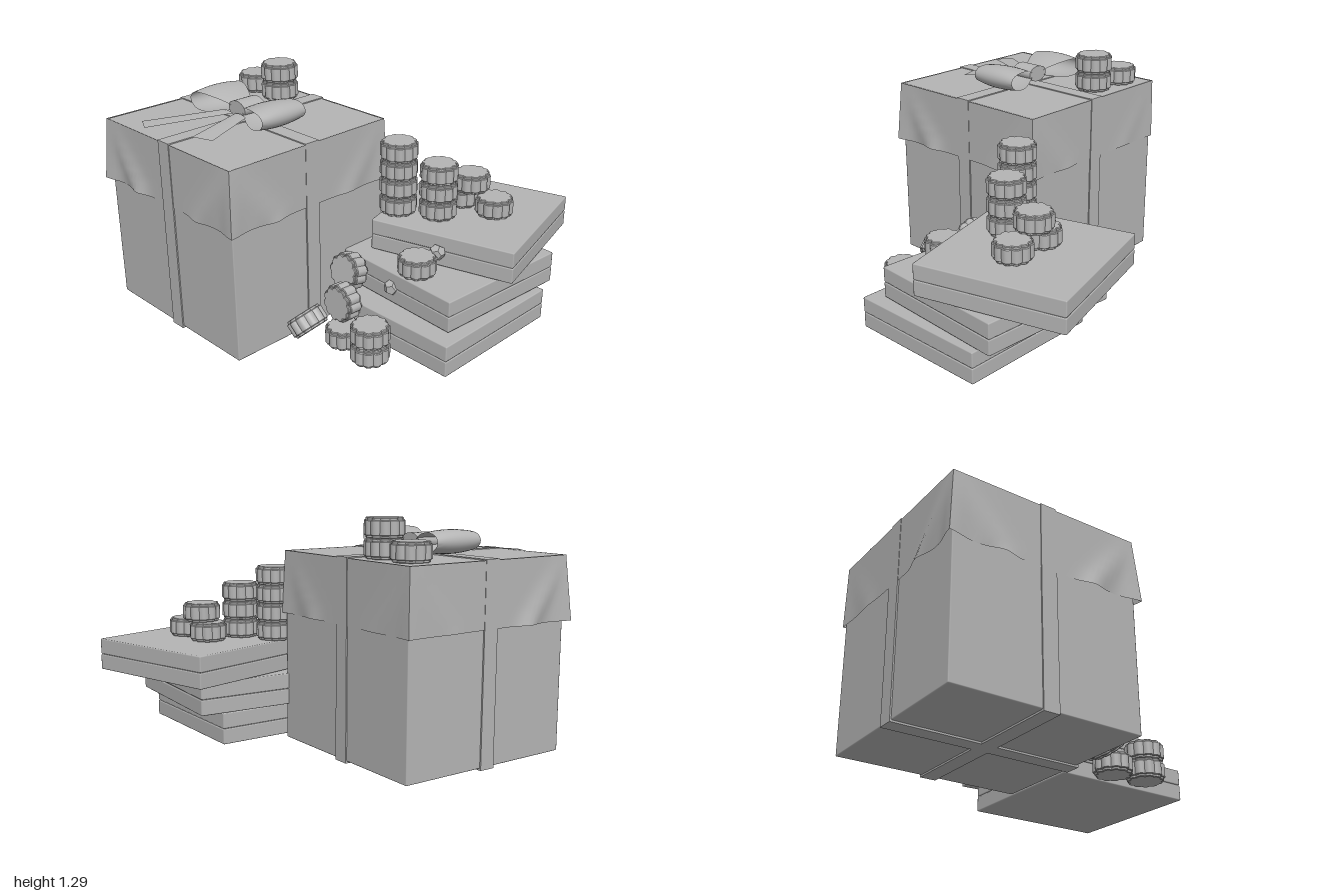
import * as THREE from 'three';
import { toCreasedNormals } from 'three/addons/utils/BufferGeometryUtils.js';
import { RoundedBoxGeometry } from 'three/addons/geometries/RoundedBoxGeometry.js';

const gray = new THREE.MeshStandardMaterial({ color: 0xb4b4b4, side: THREE.DoubleSide });
gray.name = 'plainGray';

function add(parent, name, geometry, x = 0, y = 0, z = 0) {
  const mesh = new THREE.Mesh(geometry, gray);
  mesh.name = name;
  mesh.position.set(x, y, z);
  parent.add(mesh);
  return mesh;
}

// Surface through a grid of points: point(i, j) returns [x, y, z]
function loft(rows, cols, point, crease = 0.6) {
  const pos = [], index = [];
  for (let i = 0; i <= rows; i++) {
    for (let j = 0; j <= cols; j++) {
      pos.push(...point(i / rows, j / cols));
      if (i < rows && j < cols) {
        const a = i * (cols + 1) + j, b = a + cols + 1;
        index.push(a, b, a + 1, b, b + 1, a + 1);
      }
    }
  }
  const g = new THREE.BufferGeometry();
  g.setAttribute('position', new THREE.Float32BufferAttribute(pos, 3));
  g.setIndex(index);
  return toCreasedNormals(g, crease);
}

// Round outline with scalloped edge, extruded upright and centred
function scallop(radius, height, bevel) {
  const pts = [];
  for (let i = 0; i < 88; i++) {
    const a = (i / 88) * Math.PI * 2;
    const r = radius - bevel - 0.012 * (1 - Math.abs(Math.sin(a * 5.5)));
    pts.push(new THREE.Vector2(r * Math.cos(a), r * Math.sin(a)));
  }
  const g = new THREE.ExtrudeGeometry(new THREE.Shape(pts), {
    depth: height - 2 * bevel, bevelEnabled: true, bevelSize: bevel, bevelThickness: bevel, bevelSegments: 1,
  });
  g.translate(0, 0, bevel - height / 2).rotateX(-Math.PI / 2);
  return toCreasedNormals(g, 0.5);
}

// Cloth lid skirt: flares at the corners, one fold sweeping from each corner
function skirtGeometry(half) {
  const corners = [[-1, 1, 0.028], [1, 1, 0.024], [1, -1, 0.013], [-1, -1, 0.006]];
  return loft(6, 160, (t, u) => {
    const k = Math.min(3, Math.floor(u * 4)), s = u * 4 - k;
    const a = corners[k], b = corners[(k + 1) % 4];
    const near = s < 0.5 ? a : b, far = s < 0.5 ? b : a;
    const d = Math.min(s, 1 - s) * 2 * half;
    const tx = (near[0] - far[0]) / 2, tz = (near[1] - far[1]) / 2;
    const nx = (a[0] + b[0]) / 2, nz = (a[1] + b[1]) / 2;
    const atCorner = Math.exp(-((d / 0.06) ** 2));
    const fold = Math.exp(-(((d - 0.27 * t) / 0.07) ** 2));
    const off = 0.004 + t * near[2] * Math.max(atCorner, fold);
    return [
      THREE.MathUtils.lerp(a[0], b[0], s) * half + off * (nx + tx * atCorner),
      1.08 - 0.35 * t,
      THREE.MathUtils.lerp(a[1], b[1], s) * half + off * (nz + tz * atCorner),
    ];
  });
}

function giftBox() {
  const g = new THREE.Group();
  g.name = 'giftBox';
  g.position.set(-0.44, 0, 0.395);
  add(g, 'boxBody', new RoundedBoxGeometry(1.06, 1.07, 1.066, 1, 0.006), 0, 0.545, 0);
  add(g, 'lidSkirt', skirtGeometry(0.532));
  // Crossing ribbons wrapped around the box
  add(g, 'ribbonFrontToBack', new THREE.BoxGeometry(0.09, 1.086, 1.08), 0, 0.543, 0);
  add(g, 'ribbonSideToSide', new THREE.BoxGeometry(1.076, 1.086, 0.09), 0, 0.543, 0);

  // Bow with two open loops, a knot and two tails
  const bow = new THREE.Group();
  bow.name = 'bow';
  bow.position.set(0, 1.145, -0.015);
  g.add(bow);
  for (const side of [-1, 1]) {
    add(bow, side > 0 ? 'leftLoop' : 'rightLoop', loft(40, 8, (u, v) => {
      const a = u * Math.PI * 2, f = (1 - Math.cos(a)) / 2;
      const w = 0.065 + 0.085 * Math.min(1, Math.sin(Math.min(f * 1.15, 1) * Math.PI / 2));
      const c = 2 * v - 1;
      return [side * (0.04 + 0.28 * f - 0.012 * c * c * f),
        Math.sin(a) * (0.038 + 0.045 * f) * (1 - 0.2 * c * c) + 0.012 * f, w * c];
    }, 1));
  }
  add(bow, 'knot', toCreasedNormals(new THREE.CylinderGeometry(0.07, 0.07, 0.14, 20).rotateX(Math.PI / 2)
    .scale(1, 0.66, 1), 0.7));
  const tails = [
    ['leftTail', [[0.0, 0.08], [0.10, 0.09], [0.18, 0.375], [0.06, 0.415]]],
    ['rightTail', [[-0.10, 0.09], [-0.01, 0.09], [-0.23, 0.51], [-0.33, 0.46]]],
  ];
  for (const [name, q] of tails) {
    add(bow, name, loft(8, 2, (t, v) => {
      const lerp = (i) => THREE.MathUtils.lerp(
        THREE.MathUtils.lerp(q[0][i], q[3][i], t), THREE.MathUtils.lerp(q[1][i], q[2][i], t), v);
      return [lerp(0), -0.02 - 0.033 * t + 0.008 * Math.sin(v * Math.PI) * (1 - t), lerp(1)];
    }));
  }
  return g;
}

// Flat two-part box: base, lid and recessed seam
function flatBox(x, y, z, turn) {
  const g = new THREE.Group();
  g.name = 'flatBox';
  g.position.set(x, y, z);
  g.rotation.y = turn;
  add(g, 'base', new RoundedBoxGeometry(0.83, 0.088, 0.83, 1, 0.007), 0, 0.044, 0);
  add(g, 'lid', new RoundedBoxGeometry(0.83, 0.088, 0.83, 1, 0.007), 0, 0.134, 0);
  add(g, 'seam', new THREE.BoxGeometry(0.818, 0.02, 0.818), 0, 0.089, 0);
  return g;
}

export function createModel() {
  const model = new THREE.Group();
  model.name = 'giftPile';
  model.add(giftBox());
  model.add(flatBox(0.535, 0.02, -0.12, 0));
  model.add(flatBox(0.49, 0.207, -0.24, -0.06));
  model.add(flatBox(0.48, 0.388, -0.46, 0.268));

  // Scalloped tokens: wide band with a narrower cap above and below
  const band = scallop(0.106, 0.078, 0.004), cap = scallop(0.097, 0.104, 0.004);
  const token = (x, y, z, rx = 0, rz = 0) => {
    const t = new THREE.Group();
    t.name = 'token';
    t.position.set(x, y, z);
    t.rotation.set(rx, x * 3, rz, 'XZY');
    add(t, 'band', band);
    add(t, 'cap', cap);
    model.add(t);
  };
  // Columns as x, z, base height, count
  const columns = [
    [-0.815, 0, 1.08, 1], [-0.595, 0.01, 1.08, 2],
    [0.213, -0.14, 0.566, 4], [0.41, -0.25, 0.566, 3],
    [0.39, -0.475, 0.566, 1], [0.455, -0.48, 0.67, 1], [0.615, -0.488, 0.566, 1],
    [0.555, 0.08, 0.386, 1], [0.557, 0.435, 0.015, 2], [0.35, 0.415, 0.015, 1],
  ];
  for (const [x, z, base, count] of columns) {
    for (let i = 0; i < count; i++) token(x, base + 0.052 + i * 0.105, z);
  }
  // Fallen tokens leaning against the boxes
  token(0.2, 0.32, 0.235, 1.35, 0);
  token(0.28, 0.21, 0.36, 1.5, 0);
  token(0.195, 0.13, 0.54, 0.1, 0.75);

  // Small loose gems
  const gem = toCreasedNormals(new THREE.DodecahedronGeometry(0.045), 0.1);
  for (const [x, y, z] of [[0.59, 0.475, -0.04], [0.46, 0.295, 0.17], [0.53, 0.12, 0.28]]) {
    add(model, 'gem', gem, x, y, z);
  }
  return model;
}
